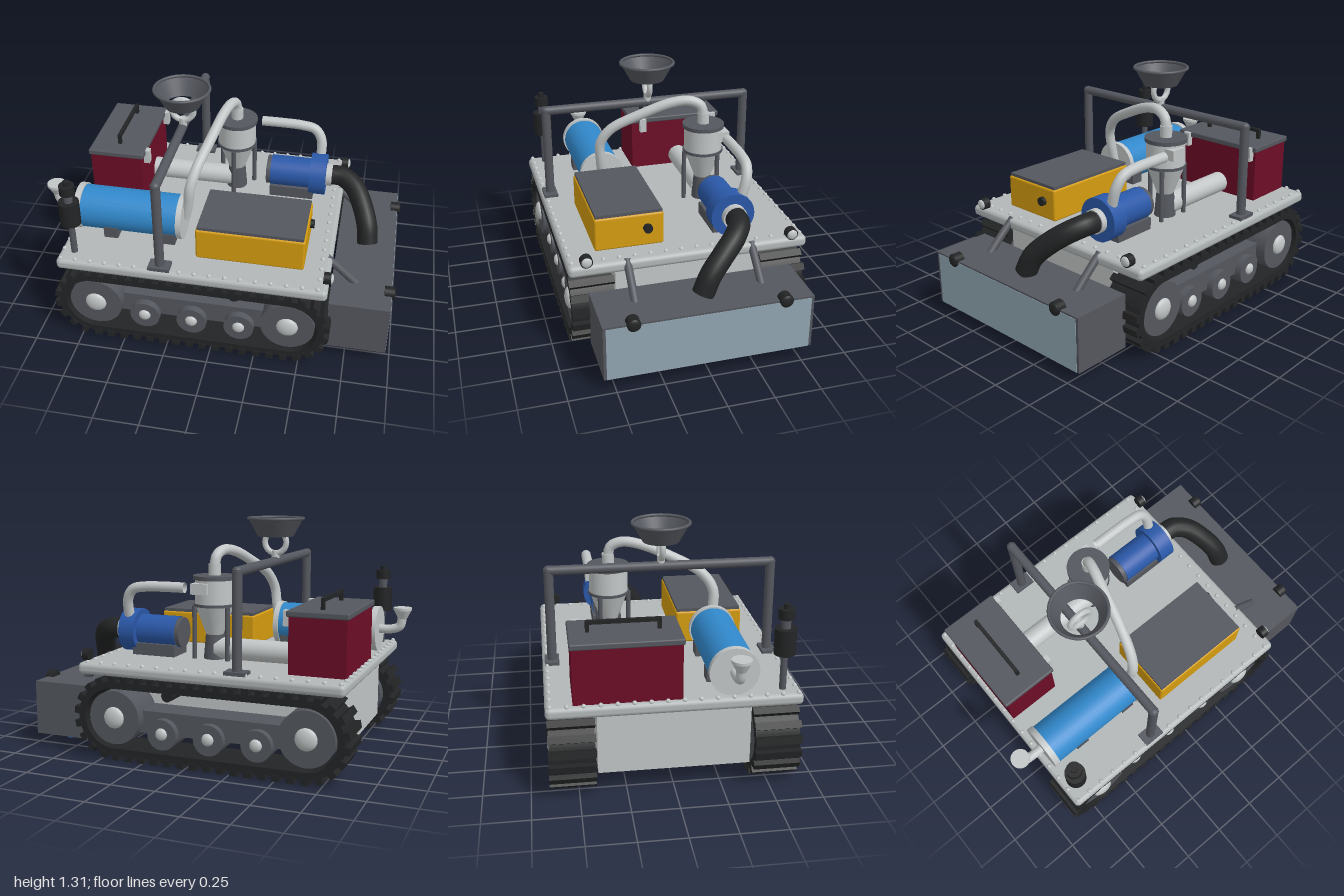
import * as THREE from 'three';
import { RoundedBoxGeometry } from 'three/addons/geometries/RoundedBoxGeometry.js';
import { mergeGeometries } from 'three/addons/utils/BufferGeometryUtils.js';

const mat = (name, color, side = THREE.FrontSide) => {
  const m = new THREE.MeshStandardMaterial({ color, side });
  m.name = name;
  return m;
};

export function createModel() {
  const root = new THREE.Group();
  root.name = 'trackedCleaningMachine';
  const M = {
    metal: mat('light metal', 0xc2c6c6, THREE.DoubleSide),
    deck: mat('deck grey', 0xb2b7b7),
    dark: mat('dark grey', 0x54575e, THREE.DoubleSide),
    black: mat('black', 0x232425, THREE.DoubleSide),
    yellow: mat('yellow', 0xd59c10),
    red: mat('dark red', 0x6c0d26),
    sky: mat('tank blue', 0x3188cb),
    blue: mat('pump blue', 0x2a58a8),
    brush: mat('brush blue', 0x1f66bb),
    panel: mat('pale panel', 0x90a5b1),
  };

  // helpers
  const add = (name, geo, m, x = 0, y = 0, z = 0, parent = root) => {
    const mesh = new THREE.Mesh(geo, m);
    mesh.name = name;
    mesh.position.set(x, y, z);
    parent.add(mesh);
    return mesh;
  };
  // box given by its minimum and maximum on each axis
  const box = (name, m, x0, x1, y0, y1, z0, z1, r = 0) => {
    const s = [x1 - x0, y1 - y0, z1 - z0];
    const g = r ? new RoundedBoxGeometry(...s, 3, r) : new THREE.BoxGeometry(...s);
    return add(name, g, m, (x0 + x1) / 2, (y0 + y1) / 2, (z0 + z1) / 2);
  };
  // cylinder or cone along an axis, from a to b; u and v are the other coordinates in x, y, z order
  const cyl = (name, m, axis, a, b, u, v, ra, rb = ra, open = false) => {
    const g = new THREE.CylinderGeometry(rb, ra, b - a, 32, 1, open);
    const c = (a + b) / 2;
    if (axis === 'x') return add(name, g.rotateZ(-Math.PI / 2), m, c, u, v);
    if (axis === 'z') return add(name, g.rotateX(Math.PI / 2), m, u, v, c);
    return add(name, g, m, u, c, v);
  };
  const tube = (name, m, r, pts) => add(name, new THREE.TubeGeometry(
    new THREE.CatmullRomCurve3(pts.map(p => new THREE.Vector3(...p))), 48, r, 16), m);
  const ball = (name, m, r, x, y, z, sx = 1, sy = 1, sz = 1) => {
    const b = add(name, new THREE.SphereGeometry(r, 24, 16), m, x, y, z);
    b.scale.set(sx, sy, sz);
  };

  // hull and deck
  box('hull', M.metal, -0.8, 0.56, 0.12, 0.47, -0.4, 0.4);
  box('deck', M.deck, -0.86, 0.635, 0.468, 0.533, -0.66, 0.66, 0.025);
  const rivets = [];
  const rivet = (x, z) => rivets.push(new THREE.SphereGeometry(0.013, 8, 6).translate(x, 0.533, z));
  for (let i = 0; i < 18; i++) for (const s of [-1, 1]) rivet(-0.835 + i * 0.0834, s * 0.635);
  for (let i = 1; i < 15; i++) for (const x of [-0.84, 0.583]) rivet(x, -0.635 + i * 0.0847);
  add('rivets', mergeGeometries(rivets), M.metal);

  // tracks
  const xa = -0.66, xb = 0.43, yc = 0.235, len = xb - xa;
  const stadium = (Type, r) => {
    const p = new Type();
    p.moveTo(xa, yc - r);
    p.lineTo(xb, yc - r);
    p.absarc(xb, yc, r, -Math.PI / 2, Math.PI / 2, false);
    p.lineTo(xa, yc + r);
    p.absarc(xa, yc, r, Math.PI / 2, Math.PI * 1.5, false);
    return p;
  };
  const cleatShapes = () => {
    const R = 0.215, arc = Math.PI * R, total = 2 * (len + arc), n = 46, out = [];
    for (let i = 0; i < n; i++) {
      let d = (i * total) / n, x, y, a;
      if (d < len) { x = xa + d; y = yc - R; a = 0; }
      else if (d < len + arc) {
        a = (d - len) / R; x = xb + R * Math.sin(a); y = yc - R * Math.cos(a);
      } else if (d < 2 * len + arc) { x = xb - (d - len - arc); y = yc + R; a = Math.PI; }
      else {
        a = Math.PI + (d - 2 * len - arc) / R; x = xa + R * Math.sin(a); y = yc - R * Math.cos(a);
      }
      out.push(new THREE.BoxGeometry(0.04, 0.036, 0.245).rotateZ(a).translate(x, y, 0));
    }
    return mergeGeometries(out);
  };
  const beltShape = stadium(THREE.Shape, 0.205);
  beltShape.holes.push(stadium(THREE.Path, 0.167));
  const beltGeo = new THREE.ExtrudeGeometry(beltShape, { depth: 0.235, bevelEnabled: false, curveSegments: 24 })
    .translate(0, 0, -0.1175);
  const cleatGeo = cleatShapes();
  for (const s of [-1, 1]) {
    const side = s > 0 ? 'left' : 'right';
    const z = (a, b) => (s > 0 ? [a, b] : [-b, -a]);
    add(side + 'TrackBelt', beltGeo, M.black, 0, 0, s * 0.532);
    add(side + 'TrackCleats', cleatGeo, M.black, 0, 0, s * 0.532);
    box(side + 'TrackFrame', M.dark, -0.56, 0.34, 0.15, 0.275, ...z(0.4, 0.57));
    for (const x of [xa, xb]) {
      cyl(side + 'DriveWheel', M.dark, 'z', ...z(0.42, 0.63), x, yc, 0.15);
      ball(side + 'DriveHub', M.metal, 0.06, x, yc, s * 0.63, 1, 1, 0.45);
    }
    for (const x of [-0.385, -0.115, 0.155]) {
      cyl(side + 'RoadWheel', M.dark, 'z', ...z(0.42, 0.61), x, 0.16, 0.085);
      ball(side + 'RoadHub', M.metal, 0.034, x, 0.165, s * 0.61, 1, 1, 0.6);
    }
    cyl(side + 'ReturnRoller', M.black, 'z', ...z(0.4, 0.6), 0.125, 0.375, 0.032);

    // blade arms, lamps and corner knobs
    tube(side + 'BladeArm', M.dark, 0.022,
      [[0.6, 0.525, s * 0.345], [0.68, 0.455, s * 0.345], [0.78, 0.36, s * 0.345]]);
    cyl(side + 'LampHousing', M.black, 'x', 0.605, 0.645, 0.562, s * 0.565, 0.033);
    ball(side + 'LampLens', M.metal, 0.028, 0.645, 0.562, s * 0.565, 0.5);
    cyl(side + 'BladeLamp', M.black, 'x', 0.935, 0.985, 0.375, s * 0.403, 0.036);
    ball(side + 'BladeLampLens', M.black, 0.034, 0.984, 0.375, s * 0.403, 0.4);

    // brush housing ends
    box(side + 'HousingEnd', M.dark, 0.64, 0.975, 0.07, 0.377, ...z(0.545, 0.56));
  }

  // brush housing, open underneath
  box('housingTop', M.dark, 0.64, 0.975, 0.365, 0.378, -0.56, 0.56);
  box('housingBack', M.dark, 0.64, 0.655, 0.07, 0.37, -0.55, 0.55);
  box('housingPanel', M.panel, 0.96, 0.977, 0.07, 0.368, -0.545, 0.545);
  cyl('brushCore', M.brush, 'z', -0.52, 0.52, 0.81, 0.16, 0.085);
  const bristles = [];
  for (let r = 0; r < 14; r++) for (let k = 0; k < 14; k++) {
    const a = ((k + (r % 2) / 2) / 14) * Math.PI * 2;
    bristles.push(new THREE.CylinderGeometry(0.017, 0.013, 0.045, 8).translate(0, 0.099, 0)
      .rotateZ(a).translate(0.81, 0.16, -0.471 + r * 0.0725));
  }
  add('brushBristles', mergeGeometries(bristles), M.brush);

  // blue tank with filler funnel
  cyl('tank', M.sky, 'x', -0.79, -0.23, 0.66, 0.3, 0.122);
  cyl('tankRearFlange', M.metal, 'x', -0.82, -0.785, 0.66, 0.3, 0.13);
  cyl('tankFrontFlange', M.metal, 'x', -0.235, -0.205, 0.66, 0.3, 0.13);
  for (const x of [-0.615, -0.285]) box('tankSaddle', M.dark, x - 0.04, x + 0.04, 0.53, 0.6, 0.19, 0.41);
  tube('fillerPipe', M.metal, 0.026, [[-0.81, 0.66, 0.3], [-0.88, 0.66, 0.3], [-0.935, 0.68, 0.3], [-0.95, 0.735, 0.3]]);
  cyl('fillerFunnel', M.metal, 'y', 0.725, 0.775, -0.95, 0.3, 0.025, 0.05);
  cyl('fillerRim', M.metal, 'y', 0.775, 0.79, -0.95, 0.3, 0.052);

  // red box with lid, handle and latches
  box('redBox', M.red, -0.83, -0.525, 0.53, 0.835, -0.52, 0.035);
  box('redBoxLid', M.dark, -0.842, -0.513, 0.832, 0.865, -0.53, 0.043, 0.008);
  box('handleBar', M.black, -0.69, -0.67, 0.905, 0.925, -0.44, -0.055);
  for (const z of [-0.43, -0.065]) box('handlePost', M.black, -0.69, -0.67, 0.86, 0.915, z - 0.01, z + 0.01);
  for (const z of [-0.485, -0.03]) box('latch', M.metal, -0.525, -0.49, 0.78, 0.862, z - 0.02, z + 0.02);
  cyl('suctionPipe', M.metal, 'x', -0.53, -0.03, 0.592, -0.265, 0.06);

  // yellow box
  box('yellowBox', M.yellow, -0.108, 0.49, 0.53, 0.718, 0.113, 0.492, 0.012);
  box('yellowBoxLid', M.dark, -0.1, 0.482, 0.715, 0.735, 0.12, 0.484);
  cyl('yellowBoxKnob', M.black, 'x', 0.485, 0.512, 0.636, 0.203, 0.025);

  // cyclone separator
  const cx = -0.015, cz = -0.265;
  cyl('cycloneBody', M.metal, 'y', 0.835, 0.98, cx, cz, 0.11);
  cyl('cycloneCap', M.dark, 'y', 0.975, 0.997, cx, cz, 0.12);
  cyl('cycloneRing', M.dark, 'y', 0.828, 0.843, cx, cz, 0.117);
  cyl('cycloneCone', M.metal, 'y', 0.66, 0.83, cx, cz, 0.045, 0.108);
  cyl('cycloneCollector', M.dark, 'y', 0.533, 0.67, cx, cz, 0.062, 0.05);
  for (let i = 0; i < 3; i++) {
    const a = (i * Math.PI * 2) / 3;
    cyl('cycloneLeg', M.dark, 'y', 0.53, 0.83, cx + 0.113 * Math.sin(a), cz + 0.113 * Math.cos(a), 0.013);
  }
  box('cycloneInlet', M.metal, -0.02, 0.075, 0.9, 0.96, -0.395, -0.33);
  cyl('cycloneOutlet', M.metal, 'y', 0.99, 1.06, cx, cz, 0.034);
  tube('tankHose', M.metal, 0.029, [[cx, 1.04, cz], [-0.02, 1.1, -0.25], [-0.035, 1.13, -0.19], [-0.06, 1.12, -0.09],
    [-0.1, 1.05, 0.09], [-0.145, 0.96, 0.255], [-0.17, 0.87, 0.312], [-0.185, 0.76, 0.31], [-0.205, 0.66, 0.3]]);

  // pump and its hoses
  cyl('pumpMotor', M.blue, 'x', 0.2, 0.46, 0.664, -0.26, 0.09);
  cyl('pumpMotorCap', M.dark, 'x', 0.175, 0.205, 0.664, -0.26, 0.085);
  cyl('pumpVolute', M.blue, 'x', 0.435, 0.53, 0.664, -0.263, 0.122);
  cyl('pumpCollar', M.metal, 'x', 0.53, 0.565, 0.664, -0.265, 0.067);
  box('pumpBase', M.dark, 0.2, 0.46, 0.53, 0.6, -0.345, -0.175);
  tube('pumpPipe', M.metal, 0.029, [[0.12, 0.932, -0.366], [0.25, 0.932, -0.366], [0.36, 0.928, -0.365],
    [0.44, 0.91, -0.362], [0.48, 0.85, -0.35], [0.485, 0.72, -0.315]]);
  tube('suctionHose', M.black, 0.06, [[0.555, 0.665, -0.267], [0.63, 0.663, -0.26], [0.705, 0.63, -0.21],
    [0.76, 0.565, -0.13], [0.8, 0.48, -0.05], [0.815, 0.385, -0.005]]);

  // gantry
  for (const s of [-1, 1]) {
    cyl('gantryPost', M.dark, 'y', 0.53, 1.07, -0.28, s * 0.605, 0.026);
    box('gantryFoot', M.dark, -0.34, -0.22, 0.53, 0.55, s * 0.607 - 0.04, s * 0.607 + 0.04);
  }
  cyl('gantryBeam', M.dark, 'z', -0.605, 0.605, -0.28, 1.06, 0.026);
  for (const s of [-1, 1]) ball('gantryCorner', M.dark, 0.027, -0.28, 1.06, s * 0.605);

  // hanging ring and open dish
  cyl('dishStem', M.metal, 'y', 1.06, 1.12, -0.277, 0, 0.022);
  add('dishRing', new THREE.TorusGeometry(0.063, 0.017, 12, 32), M.metal, -0.277, 1.168, 0);
  cyl('dish', M.dark, 'y', 1.2, 1.3, -0.277, 0, 0.1, 0.155, true);
  add('dishRim', new THREE.TorusGeometry(0.154, 0.009, 10, 40).rotateX(Math.PI / 2), M.dark, -0.277, 1.3, 0);

  // beacon
  const bx = -0.778, bz = 0.563;
  cyl('beaconPost', M.dark, 'y', 0.53, 0.74, bx, bz, 0.018);
  cyl('beaconBody', M.black, 'y', 0.73, 0.87, bx, bz, 0.056);
  cyl('beaconNeck', M.dark, 'y', 0.87, 0.925, bx, bz, 0.024);
  cyl('beaconHead', M.black, 'y', 0.922, 0.975, bx, bz, 0.042);
  cyl('beaconTip', M.black, 'y', 0.975, 1.0, bx, bz, 0.018);

  return root;
}
